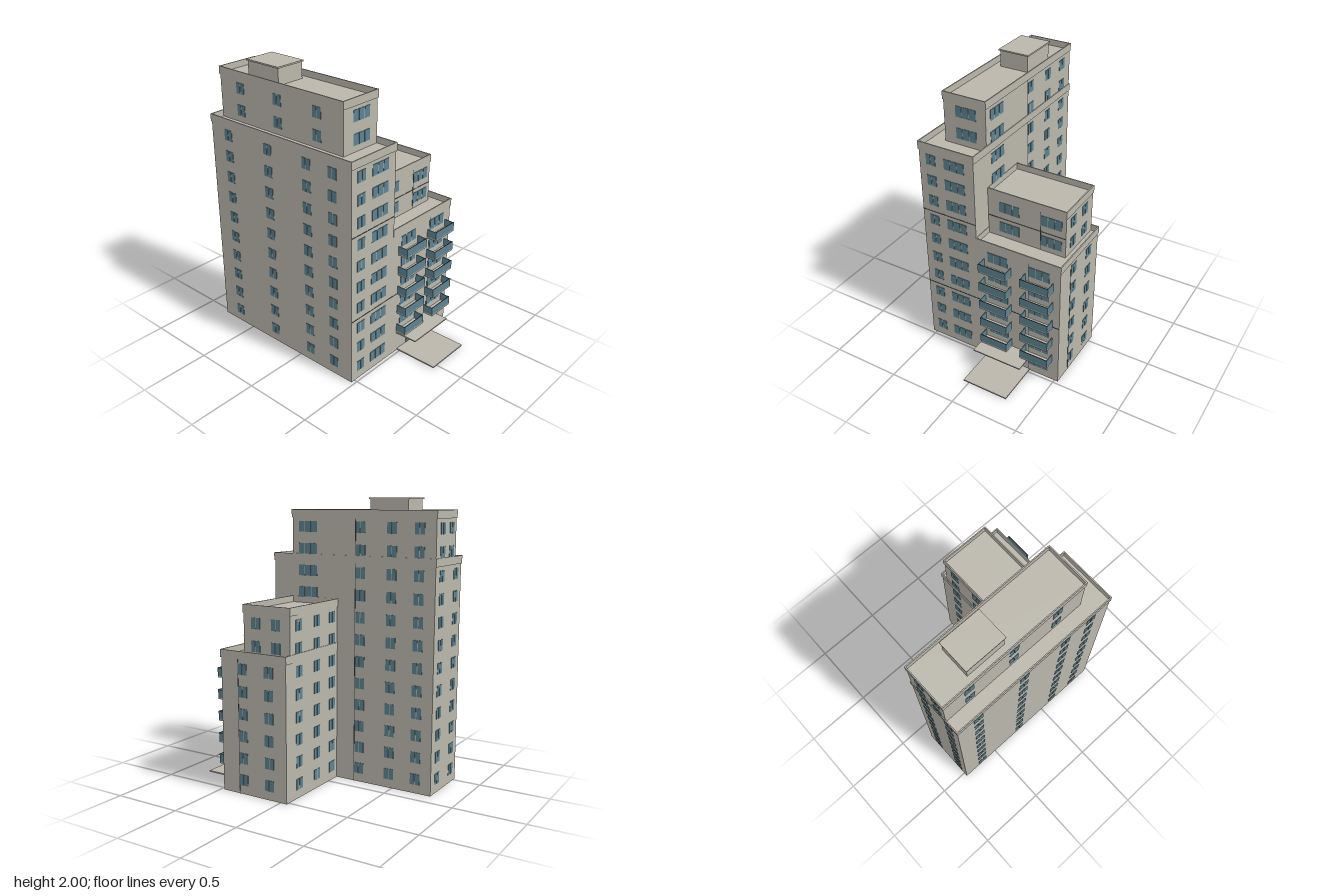
import * as THREE from 'three';
import { mergeGeometries } from 'three/addons/utils/BufferGeometryUtils.js';

const wall = new THREE.MeshStandardMaterial({ color: 0xbab6ab });
wall.name = 'concrete';
const glass = new THREE.MeshStandardMaterial({ color: 0x5b8290 });
glass.name = 'blue glass';
const dark = new THREE.MeshStandardMaterial({ color: 0x4c4d4b });
dark.name = 'dark joint';

// Box from its minimum and maximum corners
function box(x0, x1, y0, y1, z0, z1) {
  return new THREE.BoxGeometry(x1 - x0, y1 - y0, z1 - z0)
    .translate((x0 + x1) / 2, (y0 + y1) / 2, (z0 + z1) / 2);
}

const rowY = (row) => 0.1 + row * 0.1547;

// One window: a row of thin panes on the plane x = at or z = at
function windowPanes(axis, at, centre, row, panes) {
  const w = panes === 2 ? 0.033 : 0.047, gap = 0.006, d = 0.003, h = 0.038;
  const y = rowY(row), list = [];
  for (let i = 0; i < panes; i++) {
    const c = centre + (i - (panes - 1) / 2) * (w + gap);
    list.push(axis === 'z'
      ? box(c - w / 2, c + w / 2, y - h, y + h, at - d, at + d)
      : box(at - d, at + d, y - h, y + h, c - w / 2, c + w / 2));
  }
  return list;
}

export function createModel() {
  const model = new THREE.Group();
  model.name = 'apartmentBlock';

  const add = (name, geos, material, parent = model) => {
    const mesh = new THREE.Mesh(mergeGeometries([geos].flat()), material);
    mesh.name = name;
    parent.add(mesh);
  };

  // Building volumes: [name, x0, x1, y0, top of parapet, z0, z1]
  const volumes = [
    ['towerLower', -0.53, -0.11, 0, 1.61, -0.795, 0.477],
    ['towerUpper', -0.427, -0.11, 1.565, 1.92, -0.795, 0.32],
    ['wingLower', -0.11, 0.527, 0, 0.995, -0.052, 0.477],
    ['wingUpper', -0.11, 0.476, 0.95, 1.305, -0.052, 0.32],
  ];
  for (const [name, x0, x1, y0, top, z0, z1] of volumes) {
    add(name + 'Walls', box(x0, x1, y0, top - 0.045, z0, z1), wall);
    // Parapet ring slightly proud of the walls
    const o = 0.005, t = 0.008, b = top - 0.055;
    add(name + 'Parapet', [
      box(x0 - o, x1 + o, b, top, z1 + o - t, z1 + o),
      box(x0 - o, x1 + o, b, top, z0 - o, z0 - o + t),
      box(x0 - o, x0 - o + t, b, top, z0 - o + t, z1 + o - t),
      box(x1 + o - t, x1 + o, b, top, z0 - o + t, z1 + o - t),
    ], wall);
  }

  // Lift house on the tower roof
  add('liftHouse', box(-0.375, -0.16, 1.87, 1.992, -0.567, -0.283), wall);
  add('liftHouseRoof', box(-0.383, -0.152, 1.99, 2, -0.575, -0.275), wall);

  // Window columns: [facade, axis, plane, panes, first row, last row, centres]
  const columns = [
    ['towerFront', 'z', 0.477, 2, 0, 9, [-0.44]],
    ['towerFrontWide', 'z', 0.477, 3, 0, 9, [-0.26]],
    ['towerUpperFront', 'z', 0.32, 3, 10, 11, [-0.26]],
    ['wingFront', 'z', 0.477, 3, 1, 5, [0.053, 0.37]],
    ['wingGroundFront', 'z', 0.477, 3, 0, 0, [0.37]],
    ['wingUpperFront', 'z', 0.32, 3, 6, 7, [0.053, 0.37]],
    ['wingSide', 'x', 0.527, 2, 0, 5, [0.3, 0.085]],
    ['wingUpperSide', 'x', 0.476, 2, 6, 7, [0.222, 0.06]],
    ['towerInnerSide', 'x', -0.11, 2, 0, 11, [-0.237, -0.475, -0.677]],
    ['towerInnerSideWide', 'x', -0.11, 3, 8, 11, [0.19]],
    ['towerOuterSide', 'x', -0.53, 2, 0, 9, [-0.63, -0.25, 0.1, 0.32]],
    ['towerUpperOuterSide', 'x', -0.427, 2, 10, 11, [-0.6, -0.25, 0.1]],
    ['towerBack', 'z', -0.795, 2, 0, 9, [-0.21, -0.44]],
    ['towerUpperBack', 'z', -0.795, 2, 10, 11, [-0.21, -0.355]],
    ['wingBack', 'z', -0.052, 2, 0, 7, [0.375, 0.155, -0.04]],
  ];
  for (const [name, axis, at, panes, first, last, centres] of columns) {
    const list = [];
    for (let row = first; row <= last; row++) {
      for (const c of centres) list.push(...windowPanes(axis, at, c, row, panes));
    }
    add(name + 'Windows', list, glass);
  }

  // Balconies: slab with glazed front and side panels
  for (let row = 1; row <= 5; row++) {
    for (const [x0, x1] of [[-0.055, 0.157], [0.265, 0.477]]) {
      const balcony = new THREE.Group();
      balcony.name = 'balcony';
      const y = rowY(row) - 0.092, t = 0.005, z = 0.553;
      add('balconySlab', box(x0, x1, y, y + 0.009, 0.475, z), wall, balcony);
      add('balconyPanels', [
        box(x0, x1, y + 0.009, y + 0.066, z - t, z),
        box(x0, x0 + t, y + 0.009, y + 0.066, 0.477, z - t),
        box(x1 - t, x1, y + 0.009, y + 0.066, 0.477, z - t),
      ], glass, balcony);
      add('balconyRail', box(x0, x1, y + 0.066, y + 0.069, z - t, z), dark, balcony);
      model.add(balcony);
    }
  }

  // Entrance
  add('entranceDoor', box(0.06, 0.205, 0.012, 0.145, 0.474, 0.481), glass);
  add('entranceCanopy', box(-0.055, 0.318, 0.15, 0.159, 0.475, 0.645), wall);
  add('entrancePaving', box(-0.042, 0.302, 0, 0.01, 0.475, 0.8), wall);

  // Dark expansion joints
  add('frontJoints', [
    box(-0.53, 0.527, 0.476, 0.481, 0.475, 0.479),
    box(-0.53, -0.11, 1.092, 1.097, 0.475, 0.479),
    box(-0.11, 0.476, 1.092, 1.097, 0.318, 0.322),
    box(0.288, 0.292, 0, 0.94, 0.475, 0.479),
    box(0.288, 0.292, 0.95, 1.24, 0.318, 0.322),
  ], dark);
  add('sideJoints', [
    box(0.525, 0.529, 0, 0.94, 0.335, 0.339),
    box(-0.112, -0.108, 0, 1.86, -0.198, -0.194),
  ], dark);

  return model;
}
